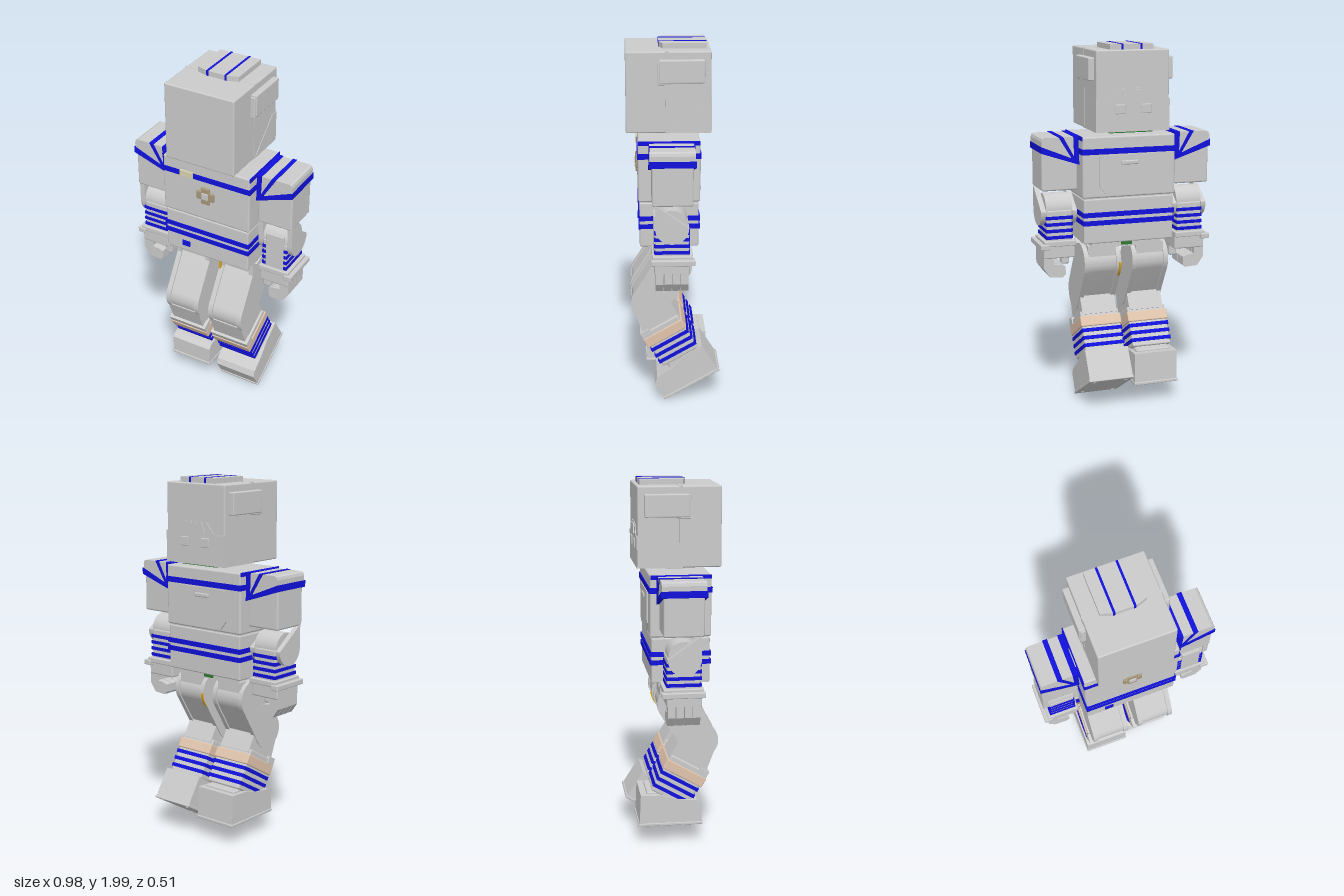
import * as THREE from 'three';
import { RoundedBoxGeometry } from 'three/addons/geometries/RoundedBoxGeometry.js';
import { toCreasedNormals } from 'three/addons/utils/BufferGeometryUtils.js';

const paint = (color) => new THREE.MeshStandardMaterial({ color });
const grey = paint(0xcccccc), blue = paint(0x1111dd), yellow = paint(0xd9a520);
const tan = paint(0xe0c4ac), green = paint(0x2e7a2e), gold = paint(0xa8997a);

function add(parent, name, geo, mat = grey) {
  const mesh = new THREE.Mesh(geo, mat);
  mesh.name = name;
  parent.add(mesh);
  return mesh;
}
function group(parent, name) {
  const g = new THREE.Group();
  g.name = name;
  parent.add(g);
  return g;
}
// box given by its extents on each axis
function box(parent, name, x, y, z, mat = grey, r = 0) {
  const size = [x, y, z].map(([a, b]) => Math.abs(b - a));
  const geo = r ? new RoundedBoxGeometry(...size, 2, r) : new THREE.BoxGeometry(...size);
  geo.translate((x[0] + x[1]) / 2, (y[0] + y[1]) / 2, (z[0] + z[1]) / 2);
  return add(parent, name, geo, mat);
}
const poly = (pts) => new THREE.Shape(pts.map(([a, b]) => new THREE.Vector2(a, b)));
const extrude = (shape, depth) =>
  new THREE.ExtrudeGeometry(shape, { depth, bevelEnabled: false, curveSegments: 20 });
// front profile (x, y) extruded over a z range
function frontSlab(parent, name, pts, z, mat) {
  return add(parent, name, extrude(poly(pts), z[1] - z[0]).translate(0, 0, z[0]), mat);
}
// side profile (z, y) extruded over an x range
function sideSlab(parent, name, shape, x, mat) {
  const lo = Math.min(...x), hi = Math.max(...x);
  const geo = extrude(shape, hi - lo).rotateY(-Math.PI / 2).translate(hi, 0, 0);
  return add(parent, name, toCreasedNormals(geo, 0.5), mat);
}
// outline around two equal circles
function link(a, b, r) {
  const t = Math.atan2(b[1] - a[1], b[0] - a[0]), q = Math.PI / 2;
  const s = new THREE.Shape();
  s.absarc(a[0], a[1], r, t + q, t + 3 * q, false);
  s.absarc(b[0], b[1], r, t - q, t + q, false);
  return s;
}
// straight sides with a round bottom
function tongue(z, y, r, top) {
  const s = new THREE.Shape();
  s.moveTo(z - r, top);
  s.absarc(z, y, r, Math.PI, Math.PI * 2, false);
  s.lineTo(z + r, top);
  return s;
}

function buildHead(root) {
  const head = group(root, 'head');
  box(head, 'headShell', [-0.203, 0.203], [1.54, 1.97], [-0.19, 0.257], grey, 0.008);
  box(head, 'headFrontRim', [-0.205, 0.205], [1.54, 1.971], [0.03, 0.05]);
  add(head, 'neck', new THREE.CylinderGeometry(0.062, 0.062, 0.06, 32).translate(0, 1.52, 0.03));
  box(head, 'neckBoard', [-0.12, 0.12], [1.53, 1.545], [-0.16, -0.08], green);
  // crest with two stripes
  const crest = [[-0.12, 0.17], [0.12, 0.17], [0.12, -0.06], [0.06, -0.08], [-0.06, -0.08], [-0.12, -0.06]];
  add(head, 'crest', extrude(poly(crest), 0.034).rotateX(-Math.PI / 2).translate(0, 1.964, 0));
  for (const s of [-1, 1]) {
    box(head, 'crestStripe', [s * 0.053 - 0.006, s * 0.053 + 0.006], [1.965, 2.0], [-0.171, 0.081], blue);
    // ear block with a smaller cover, and the lower cheek guard
    box(head, 'ear', [s * 0.195, s * 0.235], [1.81, 1.93], [-0.155, 0.083], grey, 0.006);
    box(head, 'earCover', [s * 0.2, s * 0.228], [1.8, 1.92], [0.02, 0.09], grey, 0.005);
    sideSlab(head, 'cheekGuard', poly([[0.04, 1.54], [-0.192, 1.54], [-0.192, 1.71], [-0.15, 1.71]]), [s * 0.19, s * 0.206]);
    box(head, 'rearSquare', [s * 0.1, s * 0.045], [1.635, 1.685], [-0.2, -0.185], grey, 0.004);
  }
  frontSlab(head, 'rearGuard', [[-0.2, 1.54], [0.2, 1.54], [0.2, 1.7], [0.13, 1.71], [0.08, 1.77],
    [-0.08, 1.77], [-0.13, 1.71], [-0.2, 1.7]], [-0.194, -0.18]);
  frontSlab(head, 'rearHatch', [[-0.07, 1.71], [0.07, 1.71], [0.055, 1.76], [-0.055, 1.76]], [-0.2, -0.18]);
}

function buildTorso(root) {
  const torso = group(root, 'torso');
  box(torso, 'chest', [-0.262, 0.262], [1.178, 1.51], [-0.132, 0.196], grey, 0.01);
  box(torso, 'waist', [-0.255, 0.255], [0.925, 1.172], [-0.125, 0.19], grey, 0.008);
  box(torso, 'waistSeam', [-0.25, 0.25], [1.16, 1.19], [-0.12, 0.185]);
  for (const [y, h, x] of [[1.43, 0.03, 0.267], [1.085, 0.026, 0.26], [1.04, 0.026, 0.26]])
    box(torso, 'torsoStripe', [-x, x], [y - h / 2, y + h / 2], [0.068 - x * 0.77, x * 0.75], blue);
  for (const s of [-1, 1]) {
    add(torso, 'shoulderAxle', new THREE.CylinderGeometry(0.06, 0.06, 0.04, 28)
      .rotateZ(Math.PI / 2).translate(s * 0.27, 1.42, 0.02));
    box(torso, 'chestTopRim', [s * 0.262, s * 0.267], [1.49, 1.512], [-0.13, 0.195], blue);
  }
  // chest medallion
  box(torso, 'medallionBar', [-0.052, 0.052], [1.305, 1.355], [0.19, 0.208], gold, 0.006);
  box(torso, 'medallionPost', [-0.026, 0.026], [1.28, 1.38], [0.19, 0.208], gold, 0.006);
  box(torso, 'medallionCentre', [-0.02, 0.02], [1.31, 1.35], [0.2, 0.213], grey, 0.004);
  box(torso, 'chestTag', [-0.155, -0.075], [1.415, 1.45], [0.19, 0.207], paint(0xd8d4b0));
  box(torso, 'beltBadge', [-0.155, -0.105], [0.96, 0.993], [0.18, 0.197], blue, 0.004);
  // back hatch with a handle
  frontSlab(torso, 'backHatch', [[-0.17, 1.41], [0.17, 1.41], [0.17, 1.24], [0.13, 1.19], [-0.13, 1.19],
    [-0.17, 1.24]], [-0.14, -0.12]);
  box(torso, 'backHandle', [-0.05, 0.05], [1.355, 1.378], [-0.147, -0.13], grey, 0.006);
  box(torso, 'pelvis', [-0.2, 0.2], [0.89, 0.93], [-0.08, 0.12]);
  box(torso, 'pelvisBoard', [-0.03, 0.03], [0.9, 0.926], [-0.09, 0.13], green);
}

function buildArm(root, s) {
  const arm = group(root, s > 0 ? 'leftArm' : 'rightArm');
  const X = (a, b) => [s * a, s * b];
  const P = (pts) => pts.map(([x, y]) => [s * x, y]);
  // shoulder armour with fanned stripes
  frontSlab(arm, 'shoulderArmour', P([[0.275, 1.36], [0.478, 1.44], [0.478, 1.49], [0.473, 1.505], [0.46, 1.511],
    [0.275, 1.511]]), [-0.095, 0.138]);
  frontSlab(arm, 'shoulderTrim', P([[0.272, 1.36], [0.482, 1.43], [0.482, 1.465], [0.272, 1.38]]), [-0.1, 0.143], blue);
  frontSlab(arm, 'innerShoulderStripe', P([[0.274, 1.37], [0.298, 1.38], [0.303, 1.514], [0.274, 1.514]]), [-0.098, 0.141], blue);
  frontSlab(arm, 'outerShoulderStripe', P([[0.28, 1.37], [0.3, 1.375], [0.385, 1.514], [0.36, 1.514]]), [-0.098, 0.141], blue);
  box(arm, 'upperArm', X(0.278, 0.476), [1.222, 1.45], [-0.085, 0.128], grey, 0.01);
  // elbow fork and forearm
  for (const x of [X(0.275, 0.302), X(0.448, 0.476)])
    sideSlab(arm, 'elbowFork', tongue(0.025, 1.105, 0.088, 1.23), x);
  add(arm, 'elbowBarrel', new THREE.CylinderGeometry(0.084, 0.084, 0.146, 32)
    .rotateZ(Math.PI / 2).translate(s * 0.375, 1.11, 0.025));
  box(arm, 'forearm', X(0.305, 0.446), [0.93, 1.11], [-0.065, 0.113], grey, 0.008);
  for (const y of [1.07, 1.034, 0.998, 0.962])
    box(arm, 'forearmStripe', X(0.302, 0.45), [y - 0.009, y + 0.009], [-0.069, 0.117], blue);
  if (s > 0) box(arm, 'forearmPanel', X(0.325, 0.43), [0.95, 1.16], [0.1, 0.121], grey, 0.004);
  // wrist, palm, curled fingers and thumb
  box(arm, 'wristCuff', X(0.288, 0.465), [0.915, 0.945], [-0.085, 0.128], grey, 0.005);
  box(arm, 'wristFlange', X(0.44, 0.488), [0.9, 0.93], [-0.095, 0.135], grey, 0.005);
  box(arm, 'palm', X(0.29, 0.465), [0.845, 0.92], [-0.068, 0.118], grey, 0.008);
  const hook = P([[0.41, 0.87], [0.465, 0.87], [0.465, 0.79], [0.43, 0.74], [0.36, 0.735], [0.343, 0.75],
    [0.343, 0.795], [0.37, 0.805], [0.41, 0.81]]);
  for (let i = 0; i < 4; i++) {
    const z = -0.062 + i * 0.044;
    frontSlab(arm, 'finger', hook, [z, z + 0.04]);
  }
  box(arm, 'thumb', X(0.295, 0.34), [0.785, 0.86], [0.03, 0.09], grey, 0.01);
}

const HIP = [0.01, 0.8], KNEE = [0.14, 0.59];

function buildFoot(parent, name, cx) {
  const foot = group(parent, name);
  const w = 0.124;
  sideSlab(foot, 'shoe', poly([[-0.172, 0.01], [0.172, 0.01], [0.174, 0.115], [0.145, 0.14], [0.04, 0.15],
    [-0.04, 0.175], [-0.165, 0.18]]), [cx - w, cx + w]);
  box(foot, 'sole', [cx - 0.128, cx + 0.128], [0, 0.016], [-0.178, 0.178], grey, 0.004);
  box(foot, 'instep', [cx - 0.1, cx + 0.1], [0.13, 0.19], [-0.13, 0.06], grey, 0.008);
  for (const x of [-0.09, 0.09]) for (const z of [-0.14, 0.14])
    add(foot, 'soleBolt', new THREE.CylinderGeometry(0.01, 0.01, 0.004, 12).translate(cx + x, -0.001, z));
  return foot;
}

function buildLeg(root, s) {
  const leg = group(root, s > 0 ? 'leftLeg' : 'rightLeg');
  const cx = s * 0.138;
  // thigh core between two cheeks
  sideSlab(leg, 'thighCore', link(HIP, KNEE, 0.094), [cx - 0.078, cx + 0.078]);
  for (const d of [-1, 1]) {
    const x = [cx + d * 0.078, cx + d * 0.105];
    sideSlab(leg, 'thighCheek', link(HIP, KNEE, 0.102), x);
    sideSlab(leg, 'hipCheek', tongue(0.01, 0.8, 0.098, 0.915), x);
  }
  box(leg, 'hipBlock', [cx - 0.08, cx + 0.08], [0.8, 0.9], [-0.075, 0.095]);
  if (s > 0) sideSlab(leg, 'hipRing', tongue(0.01, 0.8, 0.108, 0.925), [0.034, 0.046], yellow);

  // shin hangs back from the knee
  const shin = group(leg, 'shin');
  shin.position.set(0, KNEE[1], KNEE[0]);
  shin.rotation.x = Math.PI / 6;
  box(shin, 'calf', [cx - 0.112, cx + 0.112], [-0.37, -0.14], [-0.095, 0.128], grey, 0.008);
  sideSlab(shin, 'kneeStem', poly([[-0.098, 0], [0.1, 0], [0.125, -0.16], [-0.1, -0.16]]), [cx - 0.1, cx + 0.1]);
  box(shin, 'kneeCuff', [cx - 0.118, cx + 0.118], [-0.228, -0.17], [-0.104, 0.142], tan, 0.006);
  frontSlab(shin, 'kneeCuffPlate', [[cx - 0.118, -0.17], [cx - 0.075, -0.17], [cx - 0.055, -0.19], [cx + 0.055, -0.19],
    [cx + 0.075, -0.17], [cx + 0.118, -0.17], [cx + 0.118, -0.13], [cx - 0.118, -0.13]], [0.08, 0.136]);
  for (const y of [-0.25, -0.292, -0.334])
    box(shin, 'shinStripe', [cx - 0.116, cx + 0.116], [y - 0.01, y + 0.01], [-0.1, 0.134], blue);
  box(shin, 'ankle', [cx - 0.095, cx + 0.095], [-0.43, -0.35], [-0.08, 0.1], grey, 0.008);

  // the left foot follows the shin, the right one is level
  if (s > 0) buildFoot(shin, 'leftFoot', cx).position.set(0, -0.547, 0.044);
  else buildFoot(leg, 'rightFoot', cx).position.set(0, 0.113, -0.022);
}

export function createModel() {
  const root = new THREE.Group();
  root.name = 'robot';
  buildHead(root);
  buildTorso(root);
  for (const s of [-1, 1]) {
    buildArm(root, s);
    buildLeg(root, s);
  }
  return root;
}
